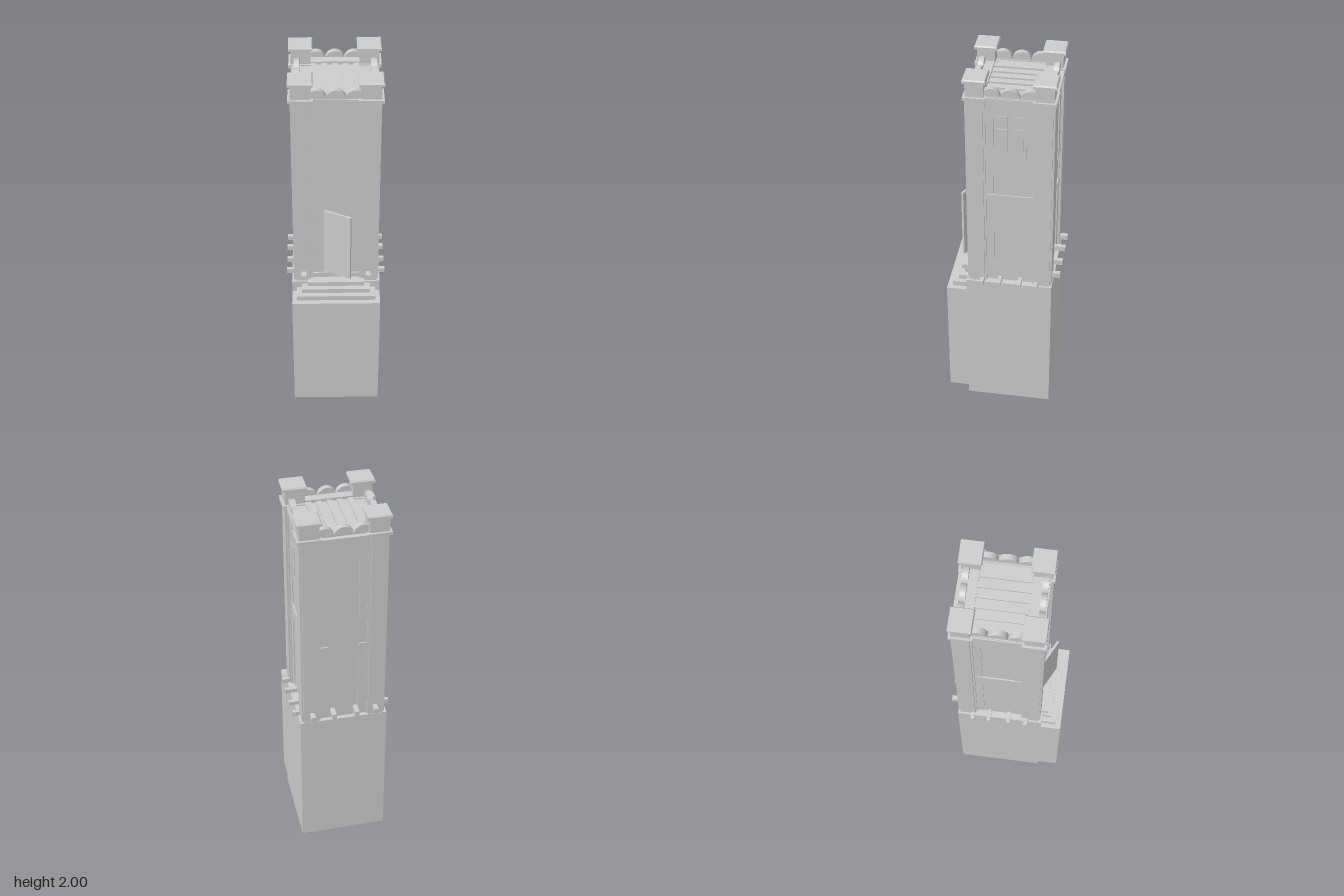
import * as THREE from 'three';

const CZ = -0.0375; // centre of the tower in z

export function createModel() {
  const model = new THREE.Group();
  const mat = new THREE.MeshStandardMaterial({ color: 0xcccccc, flatShading: true });
  const smooth = new THREE.MeshStandardMaterial({ color: 0xcccccc });

  const add = (name, geo, m = mat) => {
    const mesh = new THREE.Mesh(geo, m);
    mesh.name = name;
    model.add(mesh);
    return mesh;
  };
  // Box from its minimum and maximum on each axis
  const box = (name, x0, x1, y0, y1, z0, z1) => {
    const mesh = add(name, new THREE.BoxGeometry(x1 - x0, y1 - y0, z1 - z0));
    mesh.position.set((x0 + x1) / 2, (y0 + y1) / 2, (z0 + z1) / 2);
    return mesh;
  };

  // Plinth with a recess underneath
  const foot = new THREE.Shape([[-0.23, -0.19], [0.23, -0.19], [0.23, 0.26], [-0.23, 0.26]]
    .map(p => new THREE.Vector2(...p)));
  foot.holes.push(new THREE.Path([[-0.155, -0.15], [-0.155, 0.05], [0.155, 0.05], [0.155, -0.15]]
    .map(p => new THREE.Vector2(...p))));
  add('plinthFoot', new THREE.ExtrudeGeometry(foot, { depth: 0.14, bevelEnabled: false })
    .rotateX(-Math.PI / 2));
  box('plinth', -0.23, 0.23, 0.14, 0.8, -0.26, 0.19);
  box('frontLanding', -0.23, 0.23, 0.05, 0.735, 0.18, 0.295);

  // Steps up to the door
  [[0.205, 0.762, 0.267], [0.178, 0.787, 0.24], [0.147, 0.812, 0.213]].forEach(([w, top, z], i) =>
    box('step' + (i + 1), -w, w, 0.735, top, 0.12, z));

  // Tower body
  box('towerBody', -0.195, 0.195, 0.8, 1.89, -0.238, 0.16);
  box('threshold', -0.12, 0.12, 0.8, 0.84, 0.1, 0.168);

  // Joist ends
  for (const z of [-0.178, -0.091, 0.014, 0.105])
    box('sideJoist', -0.258, 0.258, 0.797, 0.822, z - 0.01, z + 0.01);
  for (const x of [-0.165, -0.063, 0.058, 0.168])
    box('backJoist', x - 0.012, x + 0.012, 0.833, 0.86, -0.298, -0.2);
  for (const x of [-0.167, 0.167])
    box('frontJoist', x - 0.012, x + 0.012, 0.833, 0.86, 0.1, 0.22);

  // Corner posts with turrets
  for (const sx of [-1, 1]) for (const sz of [-1, 1]) {
    const x = sx * 0.17, z = CZ + sz * 0.17;
    const block = (name, hx, hz, y0, y1) => box(name, x - hx, x + hx, y0, y1, z - hz, z + hz);
    block('postCore', 0.04, 0.05, 0.8, 1.89);
    block('postWing', 0.05, 0.04, 0.8, 1.89);
    block('turretBase', 0.061, 0.057, 1.888, 1.905);
    block('turret', 0.049, 0.045, 1.905, 1.98);
    block('turretCap', 0.061, 0.057, 1.98, 1.993);
    const lid = add('turretLid', new THREE.CylinderGeometry(0.92 * Math.SQRT1_2, Math.SQRT1_2, 1, 4)
      .rotateY(Math.PI / 4));
    lid.scale.set(0.122, 0.007, 0.114);
    lid.position.set(x, 1.9965, z);
  }

  // Cornice, roof beams and planks
  box('cornice', -0.215, 0.215, 1.885, 1.9, -0.261, 0.17);
  for (const s of [-1, 1]) {
    box('sideCurb', s * 0.19 - 0.02, s * 0.19 + 0.02, 1.9, 1.905, -0.2, 0.12);
    const z = CZ + s * 0.15;
    box('roofBeam', -0.17, 0.17, 1.9, 1.916, z - 0.024, z + 0.024);
  }
  for (let i = -2; i <= 2; i++)
    box('roofPlank', i * 0.0525 - 0.014, i * 0.0525 + 0.014, 1.9, 1.909, -0.165, 0.088);

  // Scalloped parapet: three half discs on each side
  const half = new THREE.Shape();
  half.absarc(0, 0, 0.0475, 0, Math.PI, false);
  const scallop = new THREE.ExtrudeGeometry(half, { depth: 0.029, bevelEnabled: false, curveSegments: 20 })
    .translate(0, 0, -0.0145);
  for (const s of [-1, 1]) for (let i = -1; i <= 1; i++) {
    add('endScallop', scallop, smooth).position.set(i * 0.094, 1.9, CZ + s * 0.187);
    const side = add('sideScallop', scallop, smooth);
    side.position.set(s * 0.19, 1.9, CZ + i * 0.095);
    side.rotation.y = Math.PI / 2;
  }

  // Wall trim: stiles and rails on the two sides and the back
  for (const s of [-1, 1]) {
    const x0 = s > 0 ? 0.19 : -0.202, x1 = x0 + 0.012;
    for (const t of [-1, 1]) {
      const z = CZ + t * 0.103;
      box('sideUpperStile', x0, x1, 1.35, 1.82, z - 0.021, z + 0.021);
      box('sideLowerStile', x0, x1, 0.82, 1.26, z - 0.021, z + 0.021);
    }
    box('sideTopRail', x0, x1, 1.81, 1.885, -0.16, 0.085);
    box('sideMiddleRail', x0, x1, 1.26, 1.34, -0.16, 0.085);
    box('backUpperStile', s * 0.1 - 0.022, s * 0.1 + 0.022, 1.4, 1.82, -0.245, -0.23);
    box('backLowerStile', s * 0.1 - 0.022, s * 0.1 + 0.022, 0.82, 1.26, -0.245, -0.23);
    box('frontStile', s * 0.1 - 0.022, s * 0.1 + 0.022, 1.27, 1.82, 0.15, 0.165);
  }
  box('backTopRail', -0.122, 0.122, 1.81, 1.885, -0.245, -0.23);
  box('frontTopRail', -0.122, 0.122, 1.81, 1.885, 0.15, 0.165);

  // Window on the left wall: two small panes over two shouldered panes
  box('windowFrame', 0.19, 0.199, 1.56, 1.81, -0.117, 0.042);
  box('windowRail', 0.19, 0.199, 1.505, 1.56, -0.117, 0.042);
  const tall = new THREE.Shape([[-0.026, 0], [0.026, 0], [0.026, 0.17], [-0.034, 0.17],
    [-0.034, 0.14], [-0.026, 0.12]].map(p => new THREE.Vector2(...p)));
  for (const s of [-1, 1]) {
    const z = CZ + s * 0.039;
    box('smallPane', 0.195, 0.203, 1.737, 1.8, z - 0.026, z + 0.026);
    const pane = add('tallPane', new THREE.ExtrudeGeometry(tall, { depth: 0.008, bevelEnabled: false }));
    pane.position.set(s > 0 ? 0.195 : 0.203, 1.56, z);
    pane.rotation.y = s * Math.PI / 2;
  }

  // Door leaf standing ajar
  const door = box('door', -0.075, 0.075, 0.853, 1.245, -0.006, 0.006);
  door.position.set(0.008, door.position.y, 0.197);
  door.rotation.y = -Math.atan2(0.066, 0.13);

  return model;
}
